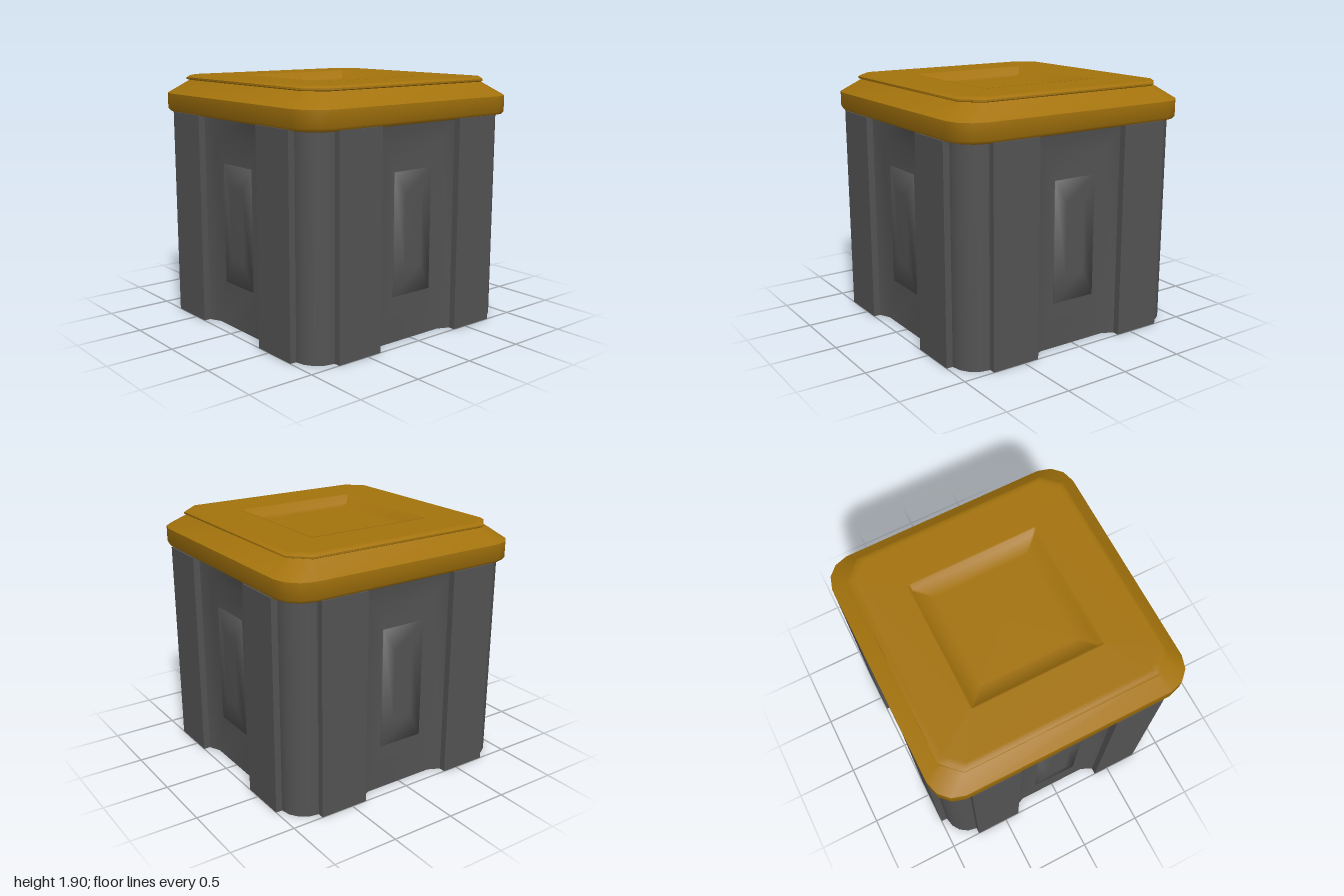
import * as THREE from 'three';
import { toCreasedNormals } from 'three/addons/utils/BufferGeometryUtils.js';

const shell = new THREE.MeshStandardMaterial({ name: 'charcoal shell', color: 0x535353 });
const ochre = new THREE.MeshStandardMaterial({ name: 'ochre lid', color: 0xa4730c });

const BODY_TOP = 1.62;
const WALL = 0.905;
const WALL_RIM = 0.95;

// Joins rings of [x, y, z] points (counter-clockwise seen from +z) into a surface
function loft(rings, crease) {
  const n = rings[0].length;
  const index = [];
  for (let i = 0; i < rings.length - 1; i++) {
    for (let j = 0; j < n; j++) {
      const k = (j + 1) % n;
      const a = i * n + j, b = i * n + k, c = a + n, d = b + n;
      index.push(a, b, d, a, d, c);
    }
  }
  const geo = new THREE.BufferGeometry();
  geo.setAttribute('position', new THREE.Float32BufferAttribute(rings.flat(2), 3));
  geo.setIndex(index);
  return toCreasedNormals(geo, crease);
}

// Square ring with cut corners: half size h, height z, corner size c, corner roundness k
function cutSquare(h, z, c, k = 0.15) {
  const q = 0.35 + k;
  const corner = [[h, h - c], [h - k * c, h - q * c], [h - q * c, h - k * c], [h - c, h]];
  const ring = [];
  for (let s = 0; s < 4; s++) {
    for (const [x, y] of corner) {
      const p = [[x, y], [-y, x], [-x, -y], [y, -x]][s];
      ring.push([p[0], p[1], z]);
    }
  }
  return ring;
}

function rect(x, y0, y1, z) {
  return [[-x, y0, z], [x, y0, z], [x, y1, z], [-x, y1, z]];
}

// Rectangle with doubled lower corners, to join a six-point ring
function rect6(x, y0, y1, z) {
  const [a, b, c, d] = rect(x, y0, y1, z);
  return [a, a, b, b, c, d];
}

function addMesh(parent, name, geometry, material) {
  const mesh = new THREE.Mesh(geometry, material);
  mesh.name = name;
  parent.add(mesh);
  return mesh;
}

// One side: dished wall, cushioned panel, two ribs and a rounded corner post
function makeSide() {
  const side = new THREE.Group();

  // Wall sinks inward from the ribs and the lid, open at the bottom
  addMesh(side, 'dishedWall', loft([
    [[-0.385, 0, WALL_RIM], [-0.29, 0, WALL], [0.29, 0, WALL],
      [0.385, 0, WALL_RIM], [0.385, BODY_TOP, WALL_RIM], [-0.385, BODY_TOP, WALL_RIM]],
    rect6(0.29, 0, 1.47, WALL),
    rect6(0.18, 0.35, 1.27, WALL),
  ], 0.7), shell);

  addMesh(side, 'cushionPanel', loft([
    rect(0.18, 0.35, 1.27, WALL - 0.01),
    rect(0.18, 0.35, 1.27, WALL + 0.007),
    rect(0.08, 0.55, 1.1, WALL + 0.015),
    rect(0, 0.81, 0.81, WALL + 0.015),
  ], 1.7), shell);

  for (const s of [-1, 1]) {
    const rib = addMesh(side, 'rib', new THREE.BoxGeometry(0.38, BODY_TOP, 0.2), shell);
    rib.position.set(s * 0.57, BODY_TOP / 2, 0.9);
  }

  const post = addMesh(side, 'cornerPost',
    new THREE.CylinderGeometry(0.19, 0.19, BODY_TOP, 4, 1, false, 0, Math.PI / 2), shell);
  post.position.set(0.76, BODY_TOP / 2, 0.76);
  return side;
}

function makeLid() {
  const lid = new THREE.Group();
  lid.name = 'lid';

  // Upright band, sloping shoulder and a raised top slab that overhangs slightly
  const rim = loft([
    cutSquare(0, 1.608, 0),
    cutSquare(0.95, 1.608, 0.18),
    cutSquare(0.985, 1.618, 0.195),
    cutSquare(1, 1.64, 0.2),
    cutSquare(1, 1.76, 0.2),
    cutSquare(0.865, 1.865, 0.13, 0.32),
    cutSquare(0.88, 1.872, 0.13, 0.32),
    cutSquare(0.88, 1.885, 0.13, 0.32),
    cutSquare(0.86, 1.9, 0.125, 0.32),
    cutSquare(0.83, 1.9, 0.12, 0.32),
    cutSquare(0.52, 1.9, 0.01),
  ], 0.84);
  addMesh(lid, 'lidRim', rim.rotateX(-Math.PI / 2), ochre);

  // Softly shaded square recess
  const recess = loft([
    cutSquare(0.52, 1.9, 0.01),
    cutSquare(0.505, 1.9, 0.01),
    cutSquare(0.495, 1.835, 0.01),
    cutSquare(0.37, 1.835, 0.01),
    cutSquare(0, 1.835, 0),
  ], 1.7);
  addMesh(lid, 'lidRecess', recess.rotateX(-Math.PI / 2), ochre);
  return lid;
}

export function createModel() {
  const model = new THREE.Group();
  model.name = 'storageCrate';

  // Inner core and floor plate
  addMesh(model, 'core', new THREE.BoxGeometry(1.64, 1.55, 1.64), shell).position.y = 0.8;
  addMesh(model, 'floorPlate', new THREE.BoxGeometry(1.77, 0.04, 1.77), shell).position.y = 0.021;

  ['frontSide', 'leftSide', 'backSide', 'rightSide'].forEach((name, i) => {
    const side = makeSide();
    side.name = name;
    side.rotation.y = i * Math.PI / 2;
    model.add(side);
  });

  model.add(makeLid());
  return model;
}
